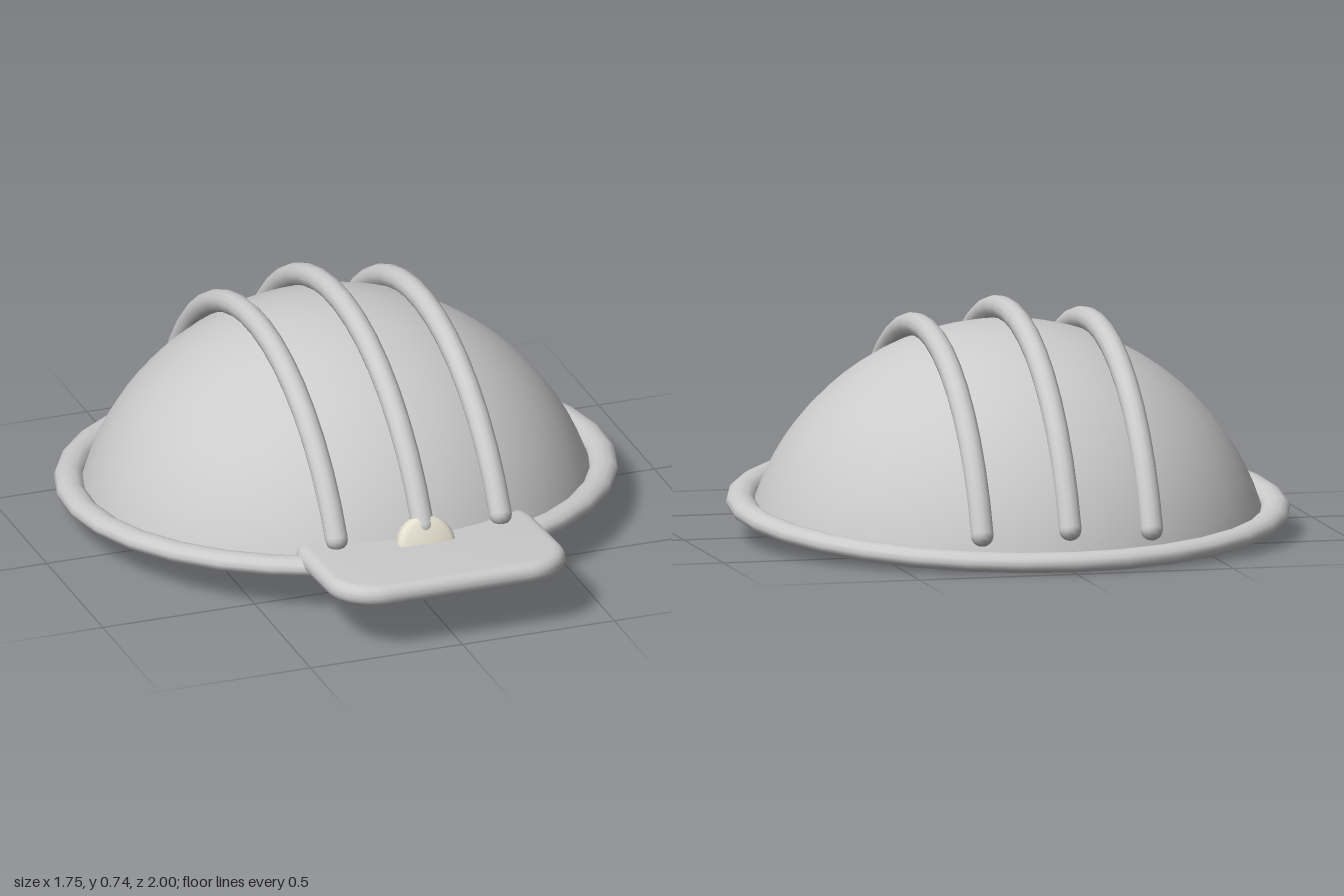
import * as THREE from 'three';
import { toCreasedNormals } from 'three/addons/utils/BufferGeometryUtils.js';

const grey = new THREE.MeshStandardMaterial({ color: 0xcccccc });
const shellGrey = new THREE.MeshStandardMaterial({ color: 0xcccccc, side: THREE.DoubleSide });
const cream = new THREE.MeshStandardMaterial({ color: 0xe6e0d0 });

const DOME_RADIUS = 0.826;
const DOME_CENTRE = -0.256; // the dome is a cap of a sphere centred below the rim
const BASE_RADIUS = Math.sqrt(DOME_RADIUS ** 2 - DOME_CENTRE ** 2);

function add(parent, name, geometry, material = grey) {
  const mesh = new THREE.Mesh(geometry, material);
  mesh.name = name;
  parent.add(mesh);
  return mesh;
}

// Round-ended tube lying on the dome in a plane of constant x
function addRidge(parent, name, x) {
  const ridge = new THREE.Group();
  ridge.name = name;
  const radius = 0.036, start = 0.42, steps = 18;
  const arc = Math.sqrt((DOME_RADIUS + radius - 0.002) ** 2 - x * x);
  const points = [];
  for (let i = 0; i <= steps; i++) {
    const a = start + (Math.PI - 2 * start) * i / steps;
    points.push(new THREE.Vector3(x, DOME_CENTRE + arc * Math.sin(a), arc * Math.cos(a)));
  }
  const curve = new THREE.CatmullRomCurve3(points);
  add(ridge, name + 'Tube', new THREE.TubeGeometry(curve, steps, radius, 12));
  for (const end of [points[0], points[steps]]) {
    add(ridge, name + 'End', new THREE.SphereGeometry(radius, 12, 8)).position.copy(end);
  }
  parent.add(ridge);
}

// Plate with rounded corners and edges, lying in XZ and centred on the origin
function roundedPlate(halfWidth, halfDepth, corner, thickness, bevel) {
  const w = halfWidth - bevel, d = halfDepth - bevel, r = corner - bevel;
  const shape = new THREE.Shape();
  shape.absarc(w - r, d - r, r, 0, Math.PI / 2);
  shape.absarc(-w + r, d - r, r, Math.PI / 2, Math.PI);
  shape.absarc(-w + r, -d + r, r, Math.PI, Math.PI * 1.5);
  shape.absarc(w - r, -d + r, r, Math.PI * 1.5, Math.PI * 2);
  const geometry = new THREE.ExtrudeGeometry(shape, {
    depth: thickness - 2 * bevel, bevelThickness: bevel, bevelSize: bevel,
    bevelSegments: 4, curveSegments: 6,
  });
  geometry.center().rotateX(-Math.PI / 2);
  return toCreasedNormals(geometry, 0.7);
}

export function createModel() {
  const model = new THREE.Group();
  model.name = 'helmet';

  // Dome, rim and ridges lean back together
  const shell = new THREE.Group();
  shell.name = 'shell';
  shell.position.set(0, 0.094, -0.13);
  shell.rotation.x = -0.078;
  model.add(shell);

  const capAngle = Math.acos(-DOME_CENTRE / DOME_RADIUS);
  const dome = new THREE.SphereGeometry(DOME_RADIUS, 48, 16, 0, Math.PI * 2, 0, capAngle);
  add(shell, 'dome', dome.translate(0, DOME_CENTRE, 0), shellGrey);

  // Flat underside closing the dome
  const base = new THREE.CircleGeometry(BASE_RADIUS, 48);
  add(shell, 'underside', base.rotateX(Math.PI / 2));

  const rim = new THREE.TorusGeometry(0.828, 0.045, 12, 32);
  rim.rotateX(Math.PI / 2).scale(1, 0.7, 1);
  add(shell, 'rim', rim);

  addRidge(shell, 'centreRidge', 0);
  addRidge(shell, 'leftRidge', 0.27);
  addRidge(shell, 'rightRidge', -0.27);

  // Visor
  const visor = add(model, 'visor', roundedPlate(0.388, 0.28, 0.16, 0.066, 0.032));
  visor.position.set(0, 0.178, 0.72);
  visor.rotation.x = -0.06;

  // Round badge passing through the visor
  const profile = [[0, -0.032], [0.075, -0.032], [0.088, -0.026], [0.094, -0.015],
    [0.094, 0.015], [0.088, 0.026], [0.075, 0.032], [0, 0.032]];
  const disc = new THREE.LatheGeometry(profile.map(([r, y]) => new THREE.Vector2(r, y)), 24);
  disc.rotateX(Math.PI / 2);
  const badge = add(model, 'badge', toCreasedNormals(disc, 0.7), cream);
  badge.position.set(0, 0.192, 0.67);
  badge.rotation.x = -0.42;

  return model;
}
